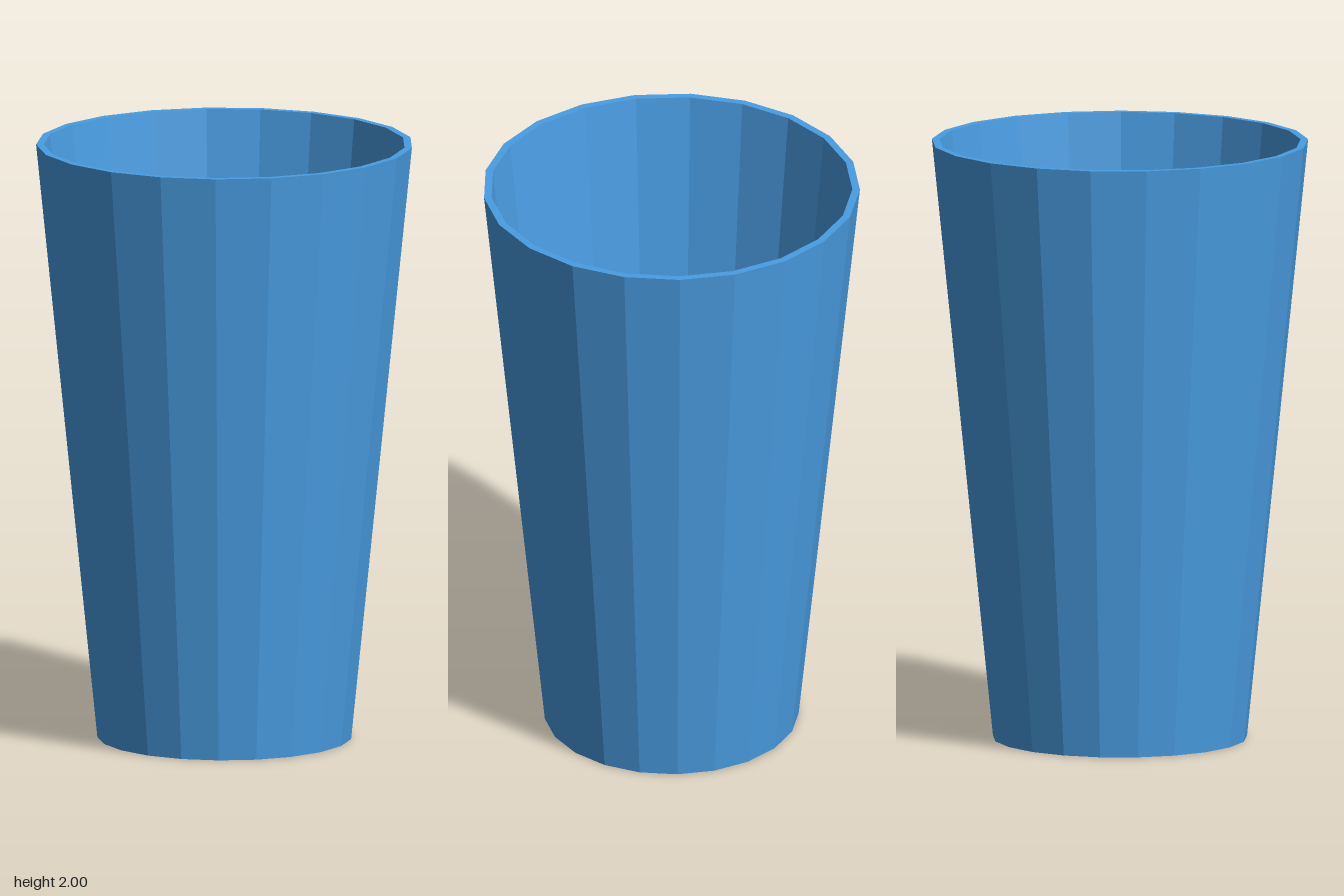
import * as THREE from 'three';

const SIDES = 21;
const HEIGHT = 2;
const FLOOR_Y = 0.04;
const OUTER = { bottom: 0.422, top: 0.625 };
const INNER = { bottom: 0.402, top: 0.6 };

export function createModel() {
  const group = new THREE.Group();
  group.name = 'cup';
  const material = new THREE.MeshStandardMaterial({ color: 0x4a9ee4, flatShading: true });

  function addPart(name, geometry) {
    const faceted = geometry.toNonIndexed();
    faceted.computeVertexNormals();
    const mesh = new THREE.Mesh(faceted, material);
    mesh.name = name;
    group.add(mesh);
    return mesh;
  }

  // Tapered wall: up the outside, across the rim, down the inside
  const profile = [
    [OUTER.bottom, 0],
    [OUTER.top, HEIGHT],
    [INNER.top, HEIGHT],
    [INNER.bottom, FLOOR_Y],
  ].map(([r, y]) => new THREE.Vector2(r, y));
  addPart('wall', new THREE.LatheGeometry(profile, SIDES, Math.PI));

  // Discs share the wall's corners, with one corner pointing to the back
  const floor = new THREE.CircleGeometry(INNER.bottom, SIDES, Math.PI / 2).rotateX(-Math.PI / 2);
  addPart('innerFloor', floor).position.y = FLOOR_Y;

  const base = new THREE.CircleGeometry(OUTER.bottom, SIDES, -Math.PI / 2).rotateX(Math.PI / 2);
  addPart('base', base);

  return group;
}
